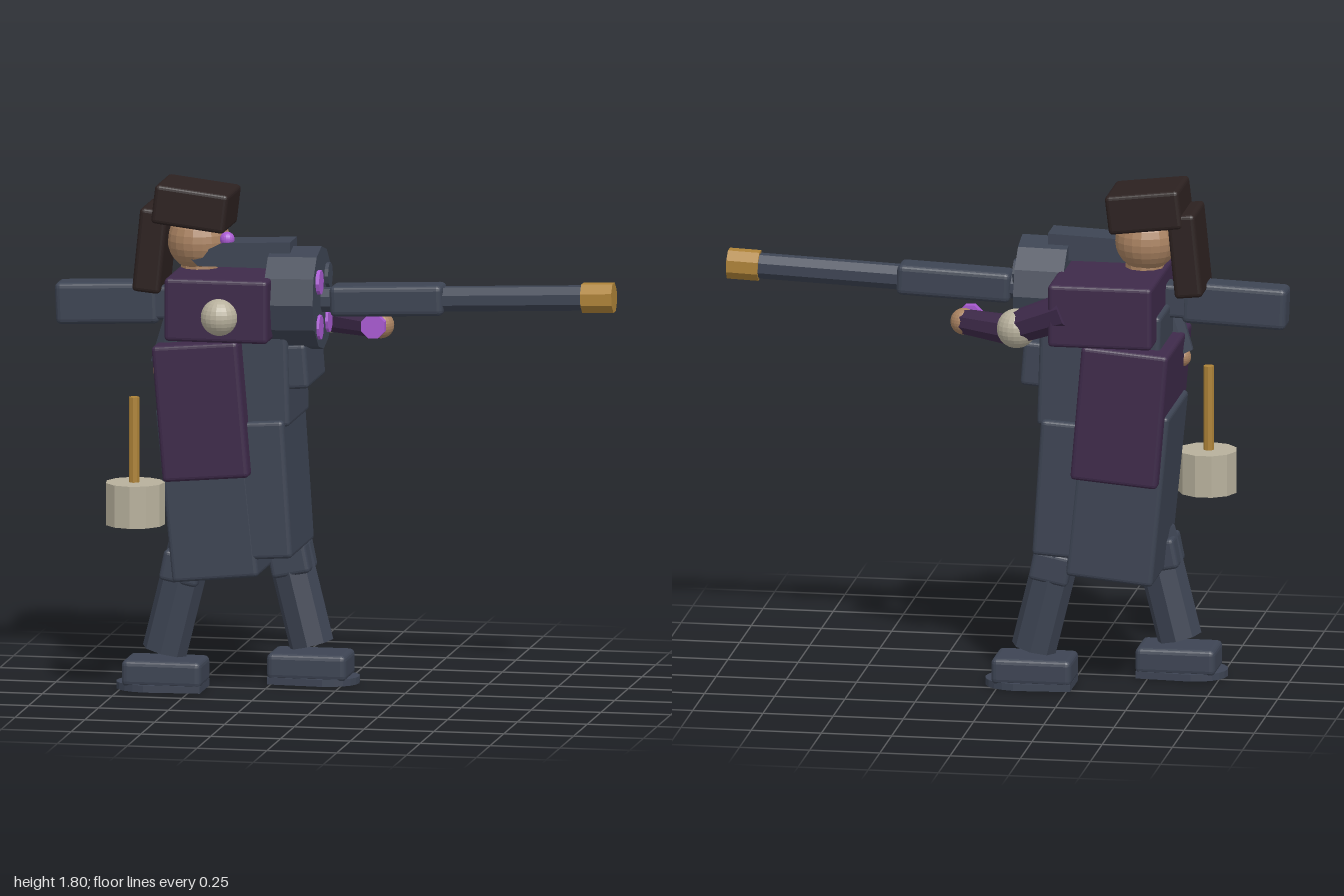
import * as THREE from 'three';
import { RoundedBoxGeometry } from 'three/addons/geometries/RoundedBoxGeometry.js';

const mat = (name, color, flatShading = false) => {
  const m = new THREE.MeshStandardMaterial({ color, flatShading });
  m.name = name;
  return m;
};

export function createModel() {
  const model = new THREE.Group();
  model.name = 'gunner';

  const slate = mat('slate', 0x3d4453, true);
  const plum = mat('plum cloth', 0x3e2a4a, true);
  const violet = mat('violet glow', 0xa95ad2, true);
  const brass = mat('brass', 0xae8338, true);
  const bone = mat('bone', 0xb7b09c, true);
  const skin = mat('skin', 0xa98261, true);
  const fur = mat('dark fur', 0x2c2120, true);

  const add = (name, geo, m, pos = [0, 0, 0], rotZ = 0, parent = model) => {
    const mesh = new THREE.Mesh(geo, m);
    mesh.name = name;
    mesh.position.set(...pos);
    mesh.rotation.z = rotZ;
    parent.add(mesh);
    return mesh;
  };
  const box = (name, size, m, pos, rotZ = 0, parent = model, r = 0.015) =>
    add(name, new RoundedBoxGeometry(...size, 2, r), m, pos, rotZ, parent);
  const ball = (name, r, m, pos) => add(name, new THREE.SphereGeometry(r, 20, 14), m, pos);

  // Faceted limb between two points
  const limb = (name, a, b, rA, rB, m, sides = 8) => {
    const p = new THREE.Vector3(...a), q = new THREE.Vector3(...b);
    const dir = q.clone().sub(p);
    const mesh = add(name, new THREE.CylinderGeometry(rB, rA, dir.length(), sides), m);
    mesh.position.copy(p).add(q).multiplyScalar(0.5);
    mesh.quaternion.setFromUnitVectors(new THREE.Vector3(0, 1, 0), dir.normalize());
    return mesh;
  };

  // Legs and feet, striding along x and mirrored about x = -0.36
  for (const [side, s, z] of [['rear', -1, 0.055], ['front', 1, -0.18]]) {
    const x = (d) => -0.36 + s * d;
    limb(side + 'Shin', [x(0.24), 0.135, z], [x(0.145), 0.52, z], 0.08, 0.08, slate);
    box(side + 'Knee', [0.14, 0.11, 0.16], slate, [x(0.17), 0.44, z], s * 0.2);
    box(side + 'Boot', [0.285, 0.095, 0.185], slate, [x(0.237), 0.0625, z], 0, model, 0.02);
    // Sole rounded at the toe
    const sole = new THREE.Shape();
    sole.moveTo(-0.15, -0.09);
    sole.lineTo(0.05, -0.105);
    sole.quadraticCurveTo(0.16, -0.09, 0.165, 0);
    sole.quadraticCurveTo(0.16, 0.09, 0.05, 0.105);
    sole.lineTo(-0.15, 0.09);
    sole.closePath();
    const geo = new THREE.ExtrudeGeometry(sole, { depth: 0.025, bevelEnabled: false, curveSegments: 5 });
    geo.rotateX(-Math.PI / 2);
    if (s < 0) geo.rotateY(Math.PI);
    add(side + 'Sole', geo, slate, [x(0.247), 0, z]);
  }

  // Robe and torso, leaning slightly back
  box('rearSkirt', [0.31, 0.62, 0.425], slate, [-0.433, 0.715, -0.067], 0.1);
  box('frontSkirt', [0.26, 0.49, 0.42], slate, [-0.273, 0.728, -0.065], 0.065);
  box('torso', [0.43, 0.42, 0.37], slate, [-0.362, 1.16, -0.065], 0.03);
  box('bellyPlate', [0.16, 0.16, 0.32], slate, [-0.162, 1.165, -0.06], 0.08);

  // Mantle and shoulder block
  box('mantle', [0.31, 0.485, 0.53], plum, [-0.447, 1.012, -0.065], 0.085);
  box('shoulders', [0.37, 0.225, 0.595], plum, [-0.383, 1.38, -0.062]);
  ball('shoulderStud', 0.066, bone, [-0.37, 1.36, 0.23]);

  // Head, hat and hair
  add('neck', new THREE.CylinderGeometry(0.065, 0.07, 0.1, 10), skin, [-0.49, 1.51, -0.03]);
  ball('head', 0.11, skin, [-0.495, 1.59, -0.03]);
  ball('eye', 0.026, violet, [-0.38, 1.605, 0.035]);
  box('hat', [0.265, 0.14, 0.25], fur, [-0.505, 1.715, -0.032], -0.12);
  box('hair', [0.1, 0.3, 0.23], fur, [-0.65, 1.56, -0.034], -0.1);

  // Supporting arm bent round the drum
  limb('upperArm', [-0.26, 1.39, -0.31], [-0.07, 1.31, -0.25], 0.07, 0.06, plum);
  ball('elbowGuard', 0.07, bone, [-0.07, 1.305, -0.25]);
  limb('forearm', [-0.06, 1.295, -0.24], [0.13, 1.29, -0.125], 0.056, 0.046, plum);
  ball('hand', 0.047, skin, [0.14, 1.29, -0.12]);
  const charm = add('handCharm', new THREE.CylinderGeometry(0.045, 0.045, 0.03, 8), violet, [0.125, 1.295, -0.062]);
  charm.rotation.set(Math.PI / 2, Math.PI / 8, 0);

  // Tucked arm behind the back
  limb('tuckedSleeve', [-0.54, 1.34, 0.08], [-0.605, 1.16, 0.07], 0.055, 0.045, slate);
  ball('tuckedHand', 0.035, skin, [-0.6, 1.14, 0.09]);

  // Long gun, tilted up a little
  const gun = new THREE.Group();
  gun.name = 'gun';
  gun.position.set(0, 1.396, 0);
  gun.rotation.z = 0.04;
  model.add(gun);
  const along = (name, r, x0, x1, m, sides) => {
    const geo = new THREE.CylinderGeometry(r, r, x1 - x0, sides);
    geo.rotateY(Math.PI / sides);
    geo.rotateZ(-Math.PI / 2);
    return add(name, geo, m, [(x0 + x1) / 2, 0, 0], 0, gun);
  };
  box('stock', [0.37, 0.15, 0.108], slate, [-0.811, 0, 0], 0, gun, 0.02);
  box('receiver', [0.5, 0.12, 0.1], slate, [-0.4, 0, 0], 0, gun);
  along('breech', 0.045, -0.1, 0.02, slate, 8);
  box('foreGrip', [0.405, 0.11, 0.112], slate, [0.19, 0, 0], 0, gun, 0.02);
  along('barrel', 0.046, 0.36, 0.9, slate, 8);
  along('muzzle', 0.055, 0.887, 0.999, brass, 8);

  // Ammunition drum with glowing ports
  const drumGeo = new THREE.CylinderGeometry(0.183, 0.183, 0.175, 12);
  drumGeo.rotateZ(-Math.PI / 2);
  add('drum', drumGeo, slate, [-0.133, 1.4, 0], 0.02);
  const portGeo = new THREE.CylinderGeometry(0.044, 0.044, 0.016, 10);
  portGeo.rotateZ(-Math.PI / 2);
  for (const [y, z, m] of [[1.47, 0.08, violet], [1.31, 0.08, violet], [1.31, -0.08, violet], [1.47, -0.085, slate]])
    add('drumPort', portGeo, m, [-0.042, y, z], 0.02);

  // Wedge-shaped top cover
  const wedge = new THREE.Shape([[-0.51, 1.54], [-0.48, 1.51], [-0.15, 1.51], [-0.15, 1.605], [-0.39, 1.595]]
    .map(([x, y]) => new THREE.Vector2(x, y)));
  add('topCover', new THREE.ExtrudeGeometry(wedge, { depth: 0.125, bevelEnabled: false }), slate, [0, 0, -0.0625]);

  // Handled canister floating at the back
  add('canister', new THREE.CylinderGeometry(0.105, 0.105, 0.15, 11), bone, [-0.667, 0.692, 0.255]);
  add('canisterHandle', new THREE.CylinderGeometry(0.019, 0.019, 0.32, 8), brass, [-0.67, 0.91, 0.255]);

  return model;
}
